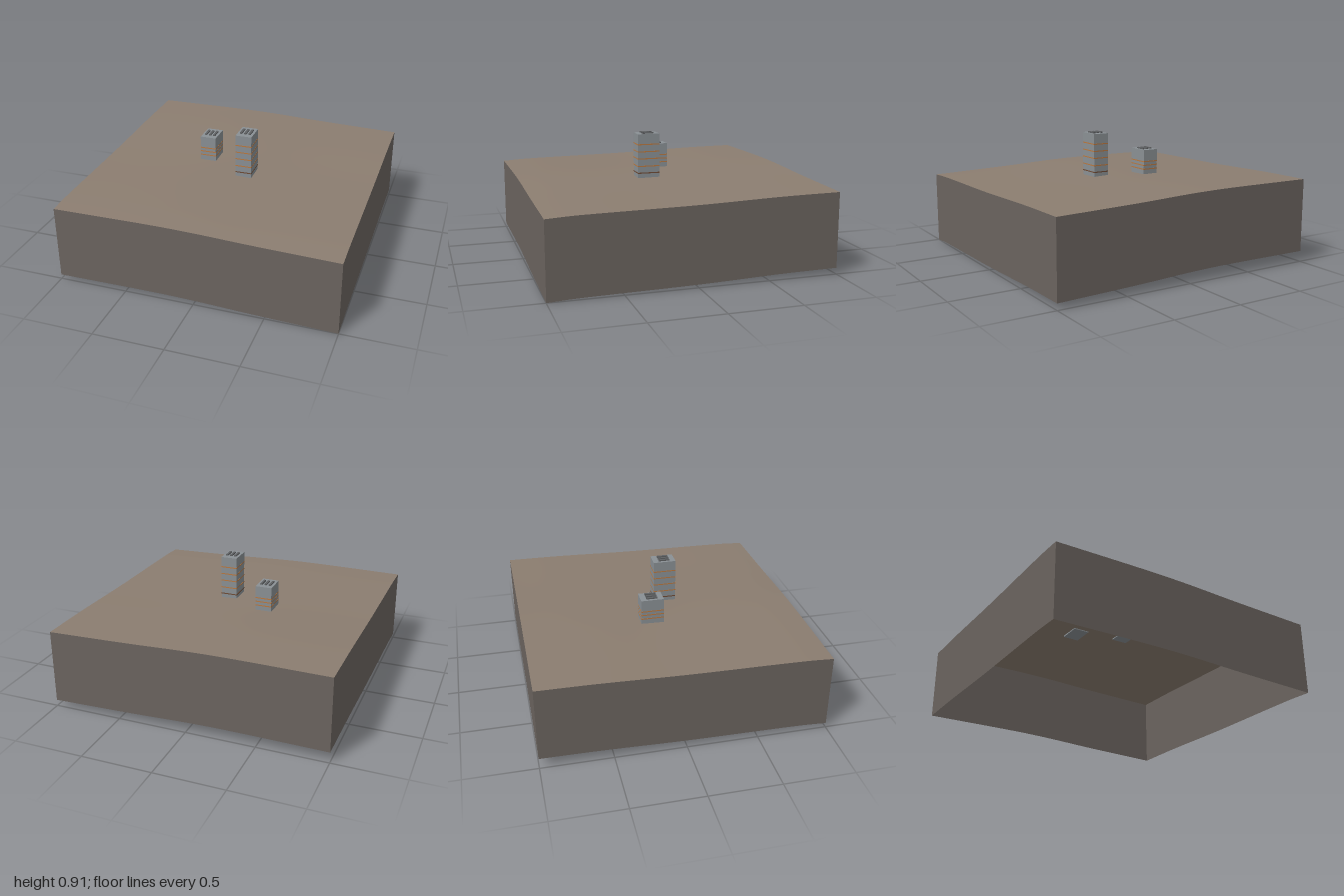
import * as THREE from 'three';

const SEG = 32, SKIRT = 0.53;

// Smooth height profile through [position, height] points
function profile(points) {
  return t => {
    let i = 0;
    while (i < points.length - 2 && t > points[i + 1][0]) i++;
    const slope = k => {
      const a = points[Math.max(k - 1, 0)], b = points[Math.min(k + 1, points.length - 1)];
      return (b[1] - a[1]) / (b[0] - a[0]);
    };
    const [x0, y0] = points[i], [x1, y1] = points[i + 1];
    const d = x1 - x0, u = (t - x0) / d, u2 = u * u, u3 = u2 * u;
    return (2 * u3 - 3 * u2 + 1) * y0 + (u3 - 2 * u2 + u) * d * slope(i)
      + (3 * u2 - 2 * u3) * y1 + (u3 - u2) * d * slope(i + 1);
  };
}
const acrossX = profile([[-1, 0], [-0.3, 0.005], [0, 0], [0.4, -0.016], [1, -0.033]]);
const alongZ = profile([[-1, 0.615], [-0.6, 0.61], [0, 0.592], [0.8, 0.58], [1, 0.57]]);
const ground = (x, z) => acrossX(x) + alongZ(z);

export function createModel() {
  const model = new THREE.Group();
  const paint = (name, color, side = THREE.FrontSide) => {
    const m = new THREE.MeshStandardMaterial({ color, side });
    m.name = name;
    return m;
  };
  const soil = paint('soil brown', 0x8b7d70, THREE.DoubleSide);
  const rock = paint('rock grey brown', 0x6b645f, THREE.DoubleSide);
  const concrete = paint('concrete grey', 0x8a9094);
  const orange = paint('rust orange', 0xb87840);
  const brown = paint('dark brown', 0x6e4a34);
  const vent = paint('vent grey', 0x5e6062);

  const add = (parent, name, geometry, material) => {
    const mesh = new THREE.Mesh(geometry, material);
    mesh.name = name;
    parent.add(mesh);
    return mesh;
  };

  // Gently rolling ground surface
  const top = new THREE.PlaneGeometry(2, 2, SEG, SEG).rotateX(-Math.PI / 2);
  const p = top.attributes.position;
  for (let i = 0; i < p.count; i++) p.setY(i, ground(p.getX(i), p.getZ(i)));
  top.computeVertexNormals();
  add(model, 'terrainSurface', top, soil);

  // Four side walls, open underneath, whose lower edge follows the ground
  ['frontWall', 'leftWall', 'backWall', 'rightWall'].forEach((name, k) => {
    const wall = new THREE.PlaneGeometry(2, 1, SEG, 1).translate(0, 0, 1).rotateY(k * Math.PI / 2);
    const w = wall.attributes.position;
    for (let i = 0; i < w.count; i++) {
      const h = ground(w.getX(i), w.getZ(i));
      w.setY(i, w.getY(i) > 0 ? h : h - SKIRT);
    }
    wall.computeVertexNormals();
    add(model, name, wall, rock);
  });

  // Tower block with floor bands and three roof vents
  const W = 0.118, D = 0.163;
  function tower(name, x, z, base, height, bands) {
    const g = new THREE.Group();
    g.name = name;
    add(g, 'towerBody', new THREE.BoxGeometry(W, height - base, D), concrete)
      .position.y = (height + base) / 2;
    bands.forEach(([y, material]) => {
      add(g, 'floorBand', new THREE.BoxGeometry(W + 0.002, 0.008, D + 0.002), material).position.y = y;
    });
    for (const dx of [-0.032, 0, 0.032])
      add(g, 'roofVent', new THREE.BoxGeometry(0.016, 0.01, 0.08), vent).position.set(dx, height + 0.004, 0);
    g.position.set(x, 0, z);
    model.add(g);
  }
  tower('tallTower', 0.081, 0.082, 0.583, 0.906,
    [[0.83, orange], [0.777, orange], [0.725, orange], [0.67, orange], [0.62, brown]]);
  tower('shortTower', -0.25, -0.083, 0.59, 0.782,
    [[0.695, orange], [0.667, orange], [0.638, orange]]);

  return model;
}
